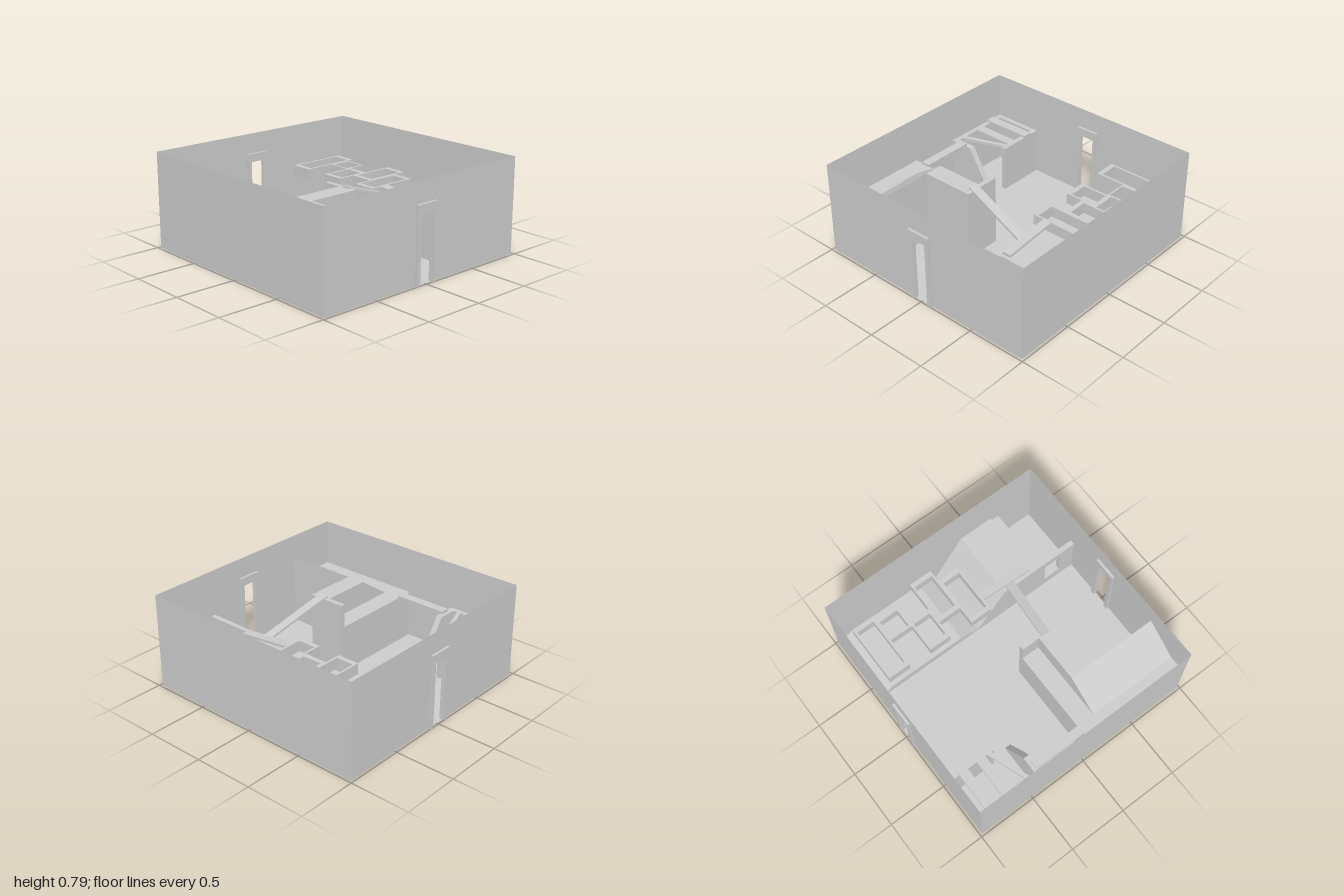
import * as THREE from 'three';

const W = 0.98, H = 0.79;

export function createModel() {
  const root = new THREE.Group();
  const mat = new THREE.MeshStandardMaterial({ color: 0xcccccc, flatShading: true, side: THREE.DoubleSide });

  function add(geometry, name, parent = root) {
    const mesh = new THREE.Mesh(geometry, mat);
    mesh.name = name;
    parent.add(mesh);
    return mesh;
  }
  function group(name) {
    const g = new THREE.Group();
    g.name = name;
    root.add(g);
    return g;
  }
  // Box given by its limits on each axis
  function block(name, x0, x1, y0, y1, z0, z1, parent) {
    const m = add(new THREE.BoxGeometry(x1 - x0, y1 - y0, z1 - z0), name, parent);
    m.position.set((x0 + x1) / 2, (y0 + y1) / 2, (z0 + z1) / 2);
    return m;
  }
  const shapeOf = pts => new THREE.Shape(pts.map(p => new THREE.Vector2(p[0], p[1])));
  const holeOf = pts => new THREE.Path(pts.map(p => new THREE.Vector2(p[0], p[1])));
  const extrude = (shape, depth) => new THREE.ExtrudeGeometry(shape, { depth, bevelEnabled: false });
  // Outline in x and y, running from z0 to z1
  function prismZ(name, pts, z0, z1, parent) {
    const m = add(extrude(shapeOf(pts), z1 - z0), name, parent);
    m.position.z = z0;
    return m;
  }
  // Outline in z and y, running from x0 to x1
  function prismX(name, pts, x0, x1, parent, hole) {
    const s = shapeOf(pts.map(([z, y]) => [-z, y]));
    if (hole) s.holes.push(holeOf(hole.map(([z, y]) => [-z, y])));
    const g = extrude(s, x1 - x0);
    g.rotateY(Math.PI / 2);
    g.translate(x0, 0, 0);
    return add(g, name, parent);
  }
  // Plank between the middles of its two ends
  function plank(name, a, b, width, thick, parent) {
    const p = new THREE.Vector3(...a), q = new THREE.Vector3(...b);
    const m = add(new THREE.BoxGeometry(width, thick, p.distanceTo(q)), name, parent);
    m.position.copy(p).add(q).multiplyScalar(0.5);
    m.lookAt(q);
    return m;
  }

  // Thin outer shell
  const floor = add(new THREE.PlaneGeometry(2 * W, 2 * W), 'floor');
  floor.rotation.x = -Math.PI / 2;
  for (const s of [-1, 1]) {
    const side = add(new THREE.PlaneGeometry(2 * W, H), 'sideWall');
    side.rotation.y = s * Math.PI / 2;
    side.position.set(s * W, H / 2, 0);

    const d = 0.065, top = 0.55;
    const end = add(new THREE.ShapeGeometry(shapeOf([
      [-W, 0], [-d, 0], [-d, top], [d, top], [d, 0], [W, 0], [W, H], [-W, H]])), 'doorWall');
    end.position.z = s * W;
    if (s < 0) end.rotation.y = Math.PI;
    // Door surround stands out on both sides of the wall
    prismZ('doorFrame', [[-0.1, 0], [-d, 0], [-d, top], [d, top], [d, 0],
      [0.1, 0], [0.1, 0.62], [-0.1, 0.62]], s * W - 0.02, s * W + 0.02);
  }

  // Ruined hut in the back corner
  const hut = group('ruinedHut');
  block('hutBackWall', -W, -0.55, 0, 0.4, -W, -0.94, hut);
  block('hutOuterWall', -W, -0.94, 0, 0.4, -0.94, -0.43, hut);
  block('hutInnerWall', -0.59, -0.55, 0, 0.4, -0.94, -0.57, hut);
  prismZ('brokenFrontWall', [[-W, 0], [-0.55, 0], [-0.55, 0.02], [-0.78, 0.4], [-W, 0.4]], -0.43, -0.38, hut);
  block('roofBeam', -W, -0.55, 0.39, 0.415, -0.895, -0.815, hut);
  block('roofBeam', -0.94, -0.59, 0.375, 0.4, -0.73, -0.65, hut);
  plank('fallenBeam', [-0.945, 0.39, -0.485], [-0.585, 0.39, -0.615], 0.035, 0.025, hut);

  // Raised ground, ramp and tall wall in the front corner
  const ledge = group('rampAndWall');
  block('lowerLedge', -W, -0.14, 0, 0.4, 0.05, 0.205, ledge);
  block('lowerLedgeSide', -W, -0.83, 0, 0.4, 0.205, W, ledge);
  prismZ('ramp', [[-0.83, 0], [-0.545, 0], [-0.545, 0.6], [-0.83, 0.4]], 0.36, W, ledge);
  prismZ('highWall', [[-0.83, 0], [-0.1, 0], [-0.1, 0.6], [-0.545, 0.6], [-0.83, 0.405]], 0.205, 0.36, ledge);
  block('highWallEnd', -0.14, -0.1, 0, 0.6, 0.05, 0.205, ledge);

  // Low platform rising to a roofed room on the other side
  const room = group('platformAndRoom');
  prismX('platform', [[-W, 0], [-0.85, 0.08], [-0.17, 0.08], [0, 0.01], [0.28, 0.4],
    [0.58, 0.4], [0.58, 0.36], [0.655, 0.36], [0.655, 0]], 0.43, W, room);
  prismX('platformEdge', [[-W, 0], [-0.85, 0.08], [-0.17, 0.08], [0, 0.01], [0.28, 0.4],
    [0.28, 0]], 0.39, 0.43, room);
  prismX('windowWall', [[0.28, 0], [W, 0], [W, 0.4], [0.28, 0.4]], 0.39, 0.43, room,
    [[0.69, 0.1], [0.84, 0.1], [0.84, 0.33], [0.69, 0.33]]);

  // Zigzag of open frames: x0, x1, z0, z1
  const frames = group('openFrames');
  for (const [x0, x1, z0, z1] of [
    [0.33, 0.83, -0.88, -0.69], [0.58, 0.77, -0.69, -0.49], [0.33, 0.62, -0.49, -0.3],
    [0.475, 0.87, -0.3, -0.1], [0.32, 0.76, -0.1, 0.09]]) {
    const tx = x1 - x0 < 0.2 ? 0.015 : 0.04, tz = 0.018;
    const s = shapeOf([[x0, -z0], [x1, -z0], [x1, -z1], [x0, -z1]]);
    s.holes.push(holeOf([[x0 + tx, -z0 - tz], [x1 - tx, -z0 - tz], [x1 - tx, -z1 + tz], [x0 + tx, -z1 + tz]]));
    const g = extrude(s, 0.09);
    g.rotateX(-Math.PI / 2);
    g.translate(0, 0.38, 0);
    add(g, 'openFrame', frames);
  }

  // Plank bridges between the raised parts
  const bridges = group('plankBridges');
  plank('hutBridge', [-0.867, 0.41, -0.4], [-0.867, 0.41, 0.06], 0.075, 0.02, bridges);
  plank('middleBridge', [-0.14, 0.61, 0.265], [0.43, 0.43, 0.345], 0.075, 0.02, bridges);
  plank('frameBridge', [0.455, 0.46, 0.09], [0.455, 0.41, 0.55], 0.075, 0.02, bridges);

  return root;
}
